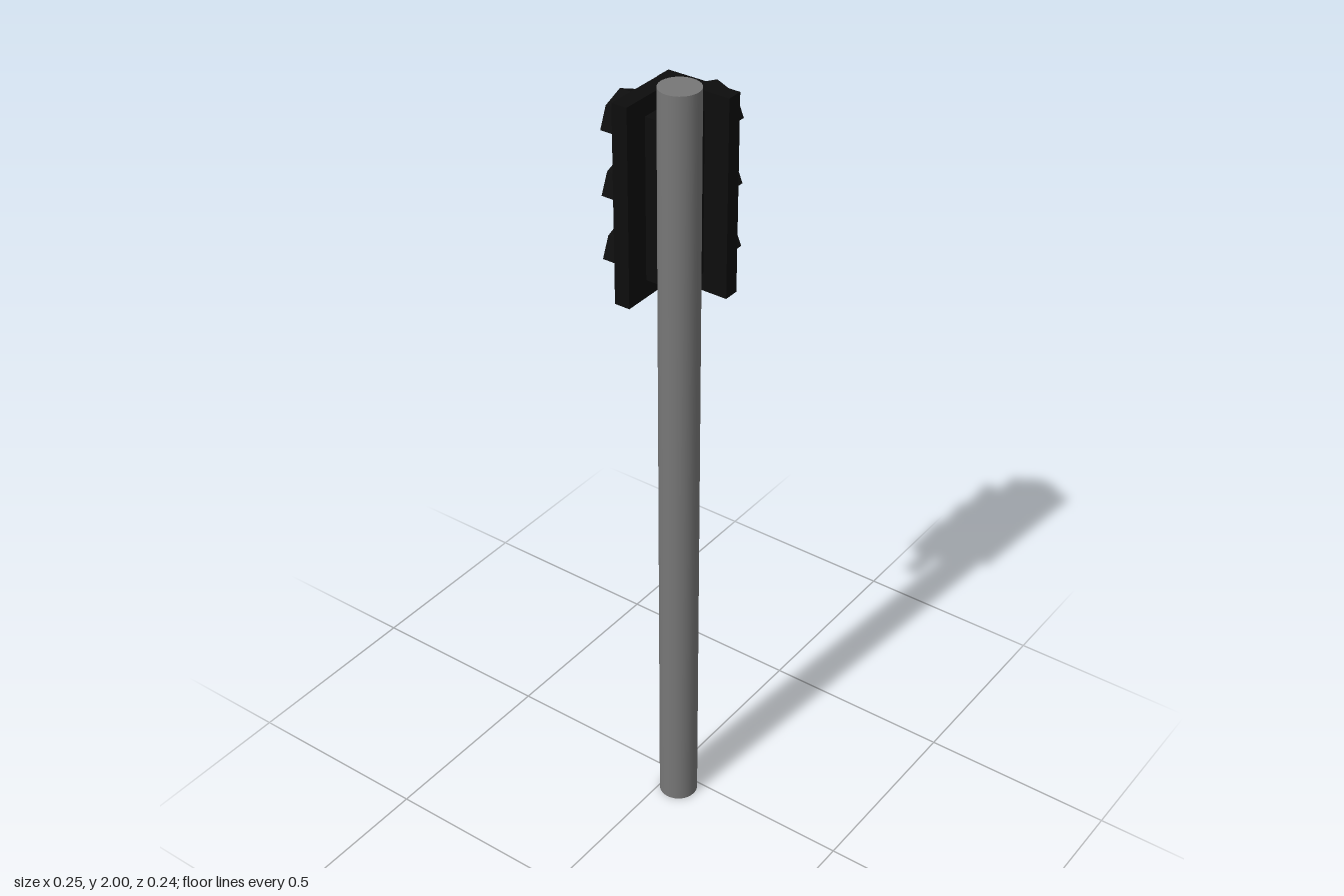
import * as THREE from 'three';

const mat = (color, flatShading = true) => new THREE.MeshStandardMaterial({ color, flatShading });
const black = mat(0x0d0d0d);
const grey = mat(0x777777, false);
const lampColors = [mat(0xd4331f), mat(0xd0a53a), mat(0x25d010)];

function add(parent, name, geometry, material, x = 0, y = 0, z = 0) {
  const mesh = new THREE.Mesh(geometry, material);
  mesh.name = name;
  mesh.position.set(x, y, z);
  parent.add(mesh);
  return mesh;
}

// Points on an octagon, from angle 0 through the given number of sides
function octagon(radius, sides) {
  return Array.from({ length: sides + 1 }, (_, i) =>
    new THREE.Vector2(Math.cos(i * Math.PI / 4) * radius, Math.sin(i * Math.PI / 4) * radius));
}

const OUTER = 0.071, INNER = 0.061, DEPTH = 0.04, SPACING = 0.158;

// Shallow octagonal rim all round the lamp
const rimShape = new THREE.Shape(octagon(OUTER, 7));
rimShape.holes.push(new THREE.Path(octagon(INNER, 7)));
const rimGeometry = new THREE.ExtrudeGeometry(rimShape, { depth: 0.008, bevelEnabled: false });

// Deep hood over the upper half of the lamp
const hoodShape = new THREE.Shape([...octagon(OUTER, 4), ...octagon(INNER, 4).reverse()]);
const hoodGeometry = new THREE.ExtrudeGeometry(hoodShape, { depth: 0.05, bevelEnabled: false });

const lampGeometry = new THREE.CylinderGeometry(INNER, INNER, 0.006, 8).rotateX(Math.PI / 2);

// One signal head facing +z, with its back at z = 0
function signalHead(name) {
  const head = new THREE.Group();
  head.name = name;
  add(head, 'housing', new THREE.BoxGeometry(0.189, 0.49, DEPTH), black, 0, 0, DEPTH / 2);
  add(head, 'bracket', new THREE.BoxGeometry(0.062, 0.4, 0.05), black, 0, 0, -0.025);
  ['red', 'amber', 'green'].forEach((label, i) => {
    const y = (1 - i) * SPACING;
    add(head, label + 'Lamp', lampGeometry, lampColors[i], 0, y, DEPTH + 0.001);
    add(head, label + 'Rim', rimGeometry, black, 0, y, DEPTH);
    add(head, label + 'Hood', hoodGeometry, black, 0, y, DEPTH);
  });
  return head;
}

export function createModel() {
  const model = new THREE.Group();
  model.name = 'trafficLight';

  add(model, 'pole', new THREE.CylinderGeometry(0.049, 0.049, 2, 32), grey, -0.04, 1, 0.043);

  // Two heads at right angles, sharing the pole
  const left = signalHead('leftSignal');
  left.position.set(0.035, 1.72, 0.0235);
  left.rotation.y = Math.PI / 2;

  const back = signalHead('backSignal');
  back.position.set(-0.034, 1.72, -0.03);
  back.rotation.y = Math.PI;

  model.add(left, back);
  return model;
}
